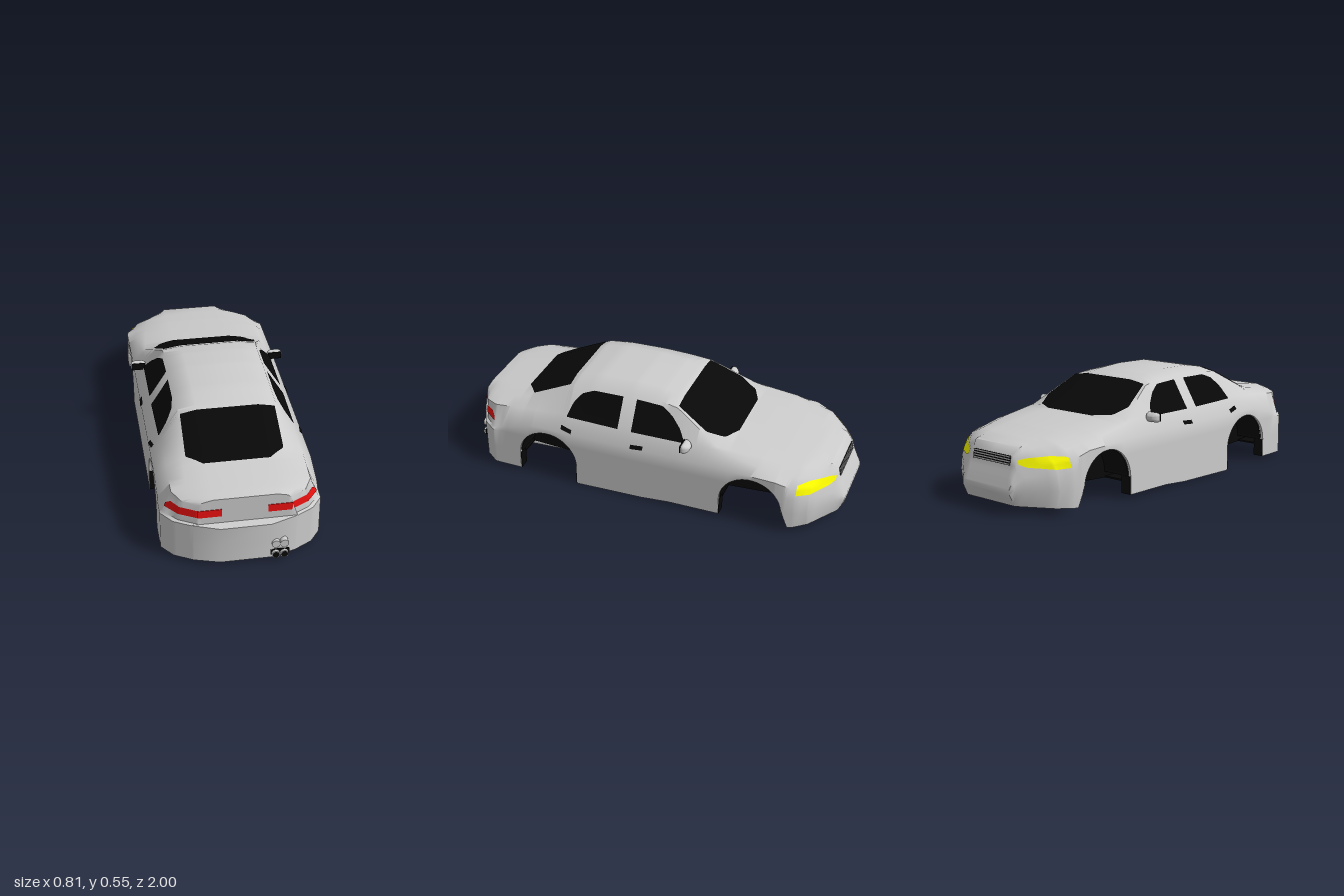
import * as THREE from 'three';
import { toCreasedNormals, mergeVertices } from 'three/addons/utils/BufferGeometryUtils.js';
import { RoundedBoxGeometry } from 'three/addons/geometries/RoundedBoxGeometry.js';

const mat = (color) => new THREE.MeshStandardMaterial({ color, side: THREE.DoubleSide });
const grey = mat(0xcccccc), black = mat(0x080808), red = mat(0xee1111), yellow = mat(0xffff00);

// Piecewise-linear lookup through [z, value] knots
function lerpTable(t, z) {
  if (z <= t[0][0]) return t[0][1];
  for (let i = 1; i < t.length; i++) {
    const [z0, v0] = t[i - 1], [z1, v1] = t[i];
    if (z <= z1) return v0 + (v1 - v0) * (z - z0) / (z1 - z0);
  }
  return t[t.length - 1][1];
}

// Body lines along z: the nose is at -z, the tail at +z
const lines = {
  width: [[-1, .16], [-.86, .335], [-.8, .37], [-.75, .383], [.83, .383], [.9, .33], [.95, .24], [.985, .12]],
  top: [[-1, .125], [-.985, .165], [-.96, .225], [-.95, .275], [-.92, .305], [-.85, .325], [-.7, .35], [-.55, .368],
    [-.44, .38], [-.14, .525], [-.05, .54], [.1, .55], [.3, .545], [.41, .525], [.45, .51], [.71, .393], [.9, .37],
    [.945, .362], [.946, .228], [.985, .22]],
  edgeX: [[-1, .13], [-.95, .14], [-.8, .25], [-.6, .29], [-.38, .315], [-.15, .247], [-.05, .238], [.3, .237],
    [.42, .24], [.66, .25], [.85, .26], [.9, .25], [.945, .2], [.985, .11]],
  edgeY: [[-1, .125], [-.96, .22], [-.95, .27], [-.9, .295], [-.8, .32], [-.6, .35], [-.38, .375], [-.15, .505],
    [-.05, .52], [.1, .526], [.3, .522], [.42, .505], [.66, .39], [.9, .355], [.945, .35]],
  waistX: [[-1, .15], [-.95, .155], [-.9, .22], [-.8, .315], [-.6, .345], [-.38, .33], [.4, .325], [.7, .33],
    [.83, .328], [.9, .29], [.945, .212], [.985, .11]],
  waistY: [[-1, .125], [-.95, .262], [-.8, .295], [-.6, .33], [-.38, .365], [-.2, .38], [.4, .38], [.66, .36], [.945, .335]],
  inset: [[-1, 0], [-.95, .05], [-.85, .035], [-.78, .015], [-.7, 0], [.74, 0], [.83, .013], [.945, .03], [.946, 0]],
  tuck: [[-1, 0], [-.97, .035], [-.75, 0]],
  shoulderY: [[-1, .125], [-.95, .225], [-.8, .255], [-.7, .29], [-.4, .3], [.6, .3], [.82, .235], [.945, .23]],
  creaseY: [[-1, .12], [-.95, .18], [-.8, .2], [-.6, .225], [.985, .225]],
  bottom: [[-1, .1], [-.97, .04], [-.77, .03], [-.737, .13], [-.6, .13], [-.415, .022], [-.15, .02], [0, .008],
    [.357, 0], [.68, .018], [.985, .022]],
};
const floorLine = [[-.9, .11], [-.74, .1], [-.41, .08], [.357, .062], [.7, .08], [.9, .085]];
const arches = [-.576, .518], archR = .161, archY = .11;

const archAt = (z) => arches.find((c) => Math.abs(z - c) < archR);

// Half cross-section from the inner lip, round the sill, up to the roof centre
function section(z) {
  const v = (k) => lerpTable(lines[k], z);
  const c = archAt(z), inArch = c !== undefined;
  const bot = inArch ? archY + Math.sqrt(archR * archR - (z - c) ** 2) : v('bottom');
  const w = v('width'), top = v('top'), low = w - v('tuck');
  const lip = Math.abs(z) > .965 ? 0 : low - (inArch ? .014 : .056);
  const sx = w - v('inset'), px = Math.min(v('waistX'), sx), ex = Math.min(v('edgeX'), px);
  const pts = [[low, bot], [w, .12], [z > 0 ? w : w - v('inset') * .3, v('creaseY')], [sx, v('shoulderY')],
    [px, v('waistY')], [ex, v('edgeY')], [Math.min(.15, w * .6, ex), top], [0, top]];
  let y = bot;
  for (const p of pts) y = p[1] = Math.min(top, Math.max(y, p[1]));
  return [[lip, Math.min(bot + (inArch ? .008 : .058), top - .01)], [lip, bot], ...pts];
}

function surfaceX(y, z) {
  const s = section(z).slice(3);
  for (let i = 1; i < s.length; i++) {
    const [x0, y0] = s[i - 1], [x1, y1] = s[i];
    if (y <= y1 && y1 > y0) return x0 + (x1 - x0) * Math.max(0, (y - y0) / (y1 - y0));
  }
  return s[s.length - 2][0];
}
function surfaceY(x, z) {
  const s = section(z);
  for (let i = s.length - 1; i > 3; i--) {
    const [x0, y0] = s[i], [x1, y1] = s[i - 1];
    if (x <= x1 && x1 > x0) return y0 + (y1 - y0) * (x - x0) / (x1 - x0);
  }
  return s[3][1];
}

function indexed(pos, idx) {
  const g = new THREE.BufferGeometry();
  g.setAttribute('position', new THREE.Float32BufferAttribute(pos, 3));
  g.setIndex(idx);
  return g;
}

// Grid of points f(u, v) as a surface
function grid(nu, nv, f) {
  const pos = [], idx = [];
  for (let i = 0; i <= nu; i++) for (let j = 0; j <= nv; j++) {
    pos.push(...f(i / nu, j / nv));
    if (i < nu && j < nv) {
      const a = i * (nv + 1) + j, b = a + nv + 1;
      idx.push(a, a + 1, b, a + 1, b + 1, b);
    }
  }
  const g = indexed(pos, idx);
  g.computeVertexNormals();
  return g;
}

function bodyGeometry() {
  const zs = new Set(Object.values(lines).flat().map((k) => k[0]));
  for (let i = 0; i <= 60; i++) zs.add(-.98 + i * .032);
  for (const c of arches) {
    for (let i = 0; i <= 24; i++) zs.add(c + (archR - 1e-4) * Math.cos(i * Math.PI / 24));
    zs.add(c - archR - 4e-4).add(c + archR + 4e-4);
  }
  const stations = [...zs].filter((z) => z <= .985).sort((a, b) => a - b);
  const pos = [], idx = [], n = section(0).length * 2 - 1;
  stations.forEach((z, i) => {
    const half = section(z);
    const ring = [...half, ...half.slice(0, -1).reverse().map(([x, y]) => [-x, y])];
    ring.forEach(([x, y], j) => {
      pos.push(x, y, z);
      const a = i * n + j;
      if (i < stations.length - 1 && j < n - 1) idx.push(a, a + 1, a + n, a + 1, a + n + 1, a + n);
    });
  });
  // Flat nose and tail ends
  const last = (stations.length - 1) * n;
  for (let j = 2; j < (n - 1) / 2; j++) {
    const a = j, b = j + 1, c = n - 2 - j, d = n - 1 - j;
    idx.push(a, d, b, b, d, c, last + a, last + b, last + d, last + b, last + c, last + d);
  }
  return toCreasedNormals(mergeVertices(indexed(pos, idx)), .8);
}

export function createModel() {
  const car = new THREE.Group();
  car.name = 'carBody';
  const add = (name, geo, m, x = 0, y = 0, z = 0) => {
    const mesh = new THREE.Mesh(geo, m);
    mesh.name = name;
    mesh.position.set(x, y, z);
    car.add(mesh);
    return mesh;
  };
  const box = (name, m, w, h, d, x, y, z) => add(name, new THREE.BoxGeometry(w, h, d), m, x, y, z);

  // Panel on both flanks between a low and a high line
  const sidePanel = (name, m, low, high) => {
    const z0 = low[0][0], z1 = low[low.length - 1][0];
    for (const s of [1, -1]) add(name, grid(32, 8, (u, v) => {
      const z = z0 + (z1 - z0) * u, a = lerpTable(low, z), y = a + (lerpTable(high, z) - a) * v;
      return [s * (surfaceX(y, z) + .004), y + .001, z];
    }), m);
  };
  // Panel lying on the upper surface with a given half width
  const topPanel = (name, m, half) => {
    const z0 = half[0][0], z1 = half[half.length - 1][0];
    add(name, grid(32, 28, (u, v) => {
      const z = z0 + (z1 - z0) * u, x = (v * 2 - 1) * lerpTable(half, z);
      return [x, surfaceY(Math.abs(x), z) + .004, z];
    }), m);
  };
  // Dark slab whose underside follows the floor line
  const slab = (name, z0, z1, width, topY) => {
    const under = [[z0, lerpTable(floorLine, z0)], ...floorLine.filter(([z]) => z > z0 && z < z1), [z1, lerpTable(floorLine, z1)]];
    const over = under.map(([z, y]) => [z, Math.max(topY, y + .008)]).reverse();
    const shape = new THREE.Shape([...under, ...over].map((q) => new THREE.Vector2(...q)));
    const geo = new THREE.ExtrudeGeometry(shape, { depth: width, bevelEnabled: false });
    add(name, geo.translate(0, 0, -width / 2).rotateY(-Math.PI / 2), black);
  };

  add('bodyShell', bodyGeometry(), grey);

  // Glass
  topPanel('windshield', black, [[-.44, .15], [-.4, .235], [-.31, .275], [-.15, .235]]);
  topPanel('rearWindow', black, [[.44, .232], [.65, .235], [.71, .16]]);
  sidePanel('frontSideWindow', black, [[-.215, .37], [.067, .367]],
    [[-.215, .375], [-.18, .425], [-.13, .47], [-.07, .502], [.067, .508]]);
  sidePanel('rearSideWindow', black, [[.14, .367], [.42, .37]],
    [[.14, .508], [.3, .505], [.36, .482], [.4, .435], [.42, .375]]);

  // Door handles
  sidePanel('frontDoorHandle', black, [[-.01, .303], [.056, .298]], [[-.01, .32], [.056, .316]]);
  sidePanel('rearDoorHandle', black, [[.38, .303], [.44, .315]], [[.38, .32], [.44, .333]]);

  // Lights
  sidePanel('headlight', yellow, [[-.95, .232], [-.93, .222], [-.85, .216], [-.8, .222]],
    [[-.95, .252], [-.92, .264], [-.85, .274], [-.8, .27]]);
  sidePanel('tailLightCorner', red, [[.83, .265], [.946, .265]], [[.83, .285], [.85, .305], [.946, .305]]);
  const lightEnd = surfaceX(.285, .944);
  for (const s of [1, -1]) box('tailLight', red, lightEnd - .104, .04, .004, s * (lightEnd + .112) / 2, .286, .946);

  // Grille
  box('grille', black, .25, .045, .006, 0, .247, -.956).rotation.x = .2;
  for (let i = 0; i < 4; i++) box('grilleSlat', grey, .25, .005, .006, 0, .231 + i * .011, -.961 + i * .0022);

  // Mirrors: a dome facing forward with flat glass behind
  const dome = new RoundedBoxGeometry(.084, .052, .044, 6, .019);
  const p = dome.attributes.position;
  for (let i = 0; i < p.count; i++) {
    const k = 1 - .45 * ((.022 - p.getZ(i)) / .044) ** 2;
    p.setXY(i, p.getX(i) * k, p.getY(i) * k);
  }
  dome.computeVertexNormals();
  for (const s of [1, -1]) {
    add('mirrorHousing', dome, grey, s * .367, .373, -.238);
    add('mirrorGlass', new RoundedBoxGeometry(.07, .04, .006, 3, .003), black, s * .367, .373, -.216);
  }

  // Underbody, wheel wells and the dark sill ends inside them
  slab('underbody', -.86, .88, .43, .265);
  slab('noseFloor', -.94, -.82, .34, 0);
  slab('frontFloor', -.82, -.74, .62, 0);
  slab('middleFloor', -.415, .357, .66, 0);
  slab('rearFloor', .68, .86, .66, 0);
  slab('tailFloor', .86, .94, .36, 0);
  for (const s of [1, -1]) {
    for (const c of arches)
      add('wheelWell', new THREE.CylinderGeometry(.159, .159, .15, 24, 1, true, 0, Math.PI), black, s * .29, archY, c)
        .rotation.z = Math.PI / 2;
    for (const [z, low] of [[-.4175, .022], [.3595, .001], [.6765, .019]])
      box('sillEnd', black, .054, .112 - low, .003, s * .354, (.112 + low) / 2, z);
  }

  // Exhaust
  box('exhaustRecess', black, .09, .03, .006, .16, .052, .983);
  const pipe = (name, m, r0, r1, len, x, y, z, tilt = 0) => {
    add(name, new THREE.CylinderGeometry(r0, r1, len, 20), m, x, y, z).rotation.x = Math.PI / 2 + tilt;
  };
  for (const x of [.14, .18]) {
    pipe('exhaustPipe', grey, .02, .012, .62, x, .053, .689, .026);
    pipe('exhaustOpening', black, .016, .016, .004, x, .045, .998);
    pipe('upperExhaustTip', grey, .02, .02, .03, x, .105, .98);
  }
  return car;
}
